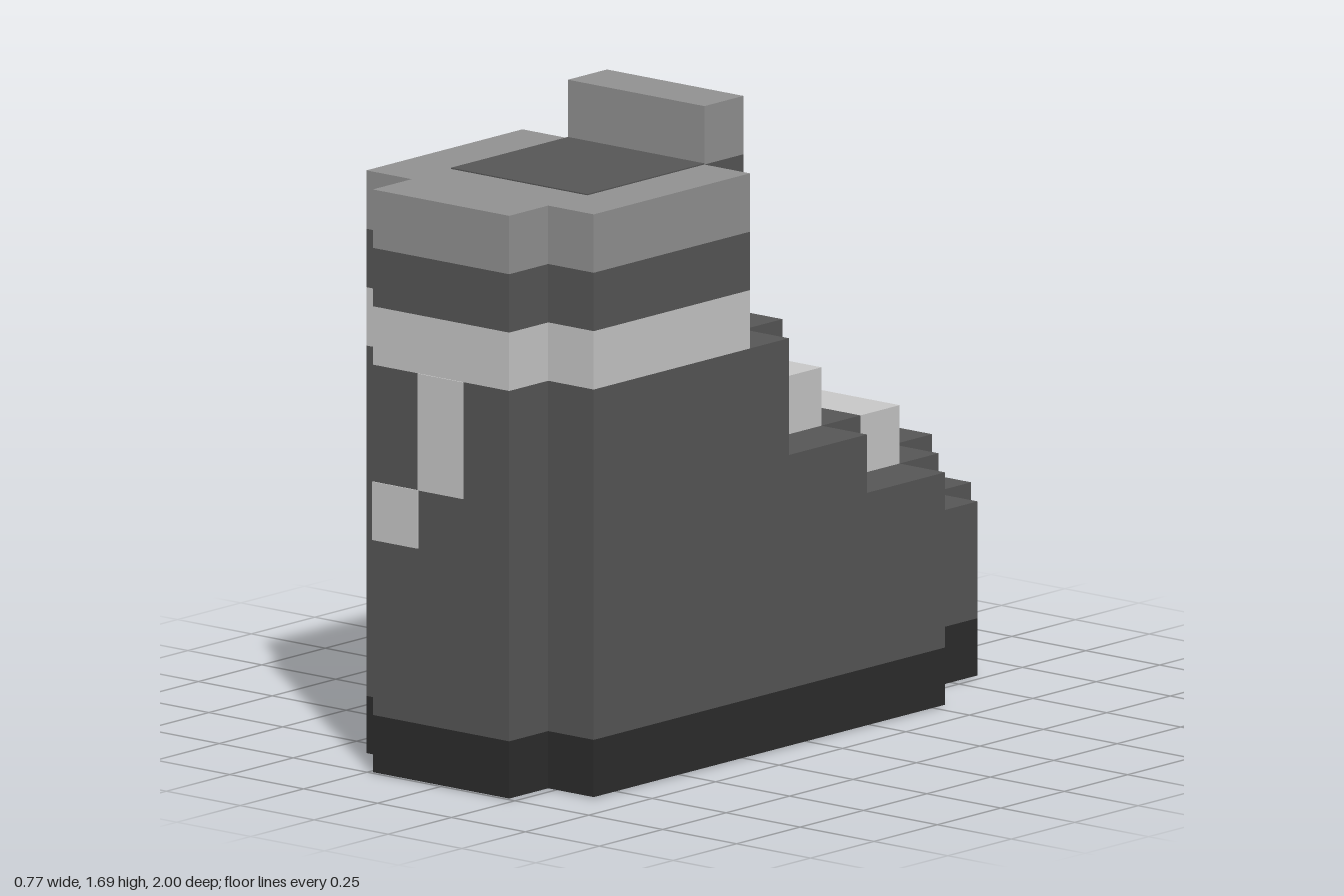
import * as THREE from 'three';

const U = 2 / 13; // one block
const T = 0.02;   // thickness of painted plates, in blocks

export function createModel() {
  const root = new THREE.Group();
  root.name = 'boot';
  const colour = (name, hex) => {
    const m = new THREE.MeshStandardMaterial({ color: hex });
    m.name = name;
    return m;
  };
  const leather = colour('dark grey leather', 0x575757);
  const black = colour('near black sole', 0x2d2d2d);
  const grey = colour('mid grey cuff', 0x939393);
  const light = colour('light grey lace', 0xcacaca);

  const add = (name, geometry, material) => {
    const mesh = new THREE.Mesh(geometry, material);
    mesh.name = name;
    root.add(mesh);
  };

  // Box between block coordinates: x 0..5, y 0..11, z 0..13 (toe to heel)
  const box = (name, mat, [x0, x1], [y0, y1], [z0, z1]) => {
    const g = new THREE.BoxGeometry((x1 - x0) * U, (y1 - y0) * U, (z1 - z0) * U);
    g.translate(((x0 + x1) / 2 - 2.5) * U, (y0 + y1) / 2 * U, ((z0 + z1) / 2 - 6.5) * U);
    add(name, g, mat);
  };

  // Horizontal slab: each of the five columns runs from its start to the heel
  const heel = [12, 13, 13, 13, 12];
  const slab = (name, mat, y0, y1, starts) => {
    const pts = [];
    const put = (x, z) => {
      const p = new THREE.Vector2((x - 2.5) * U, (6.5 - z) * U);
      if (!pts.length || pts[pts.length - 1].distanceTo(p) > 1e-6) pts.push(p);
    };
    for (let i = 0; i < 5; i++) { put(i, heel[i]); put(i + 1, heel[i]); }
    for (let i = 4; i >= 0; i--) { put(i + 1, starts[i]); put(i, starts[i]); }
    const g = new THREE.ExtrudeGeometry(new THREE.Shape(pts), {
      depth: (y1 - y0) * U, bevelEnabled: false,
    });
    g.rotateX(-Math.PI / 2);
    g.translate(0, y0 * U, 0);
    add(name, g, mat);
  };

  // Sole and stepped foot
  slab('sole', black, T, 1, [1, 0, 0, 1, 3]);
  slab('lowerFoot', leather, 1, 3, [1, 0, 0, 1, 3]);
  slab('toeStep', leather, 3, 4, [2, 1, 1, 2, 3]);
  slab('instepLow', leather, 4, 5, [5, 4, 4, 4, 5]);
  slab('instepMid', leather, 5, 6, [7, 6, 6, 6, 7]);
  slab('instepHigh', leather, 6, 7, [7, 6, 7, 6, 7]);

  // Ankle bands and cuff
  slab('ankleBand', light, 7, 8, [8, 7, 7, 7, 8]);
  slab('ankle', leather, 8, 9, [8, 7, 7, 7, 8]);
  slab('cuff', grey, 9, 10, [8, 8, 8, 8, 8]);
  box('opening', leather, [1, 4], [10, 10 + T], [8, 11]);

  // Tongue rising above the cuff
  box('tongue', leather, [1, 4], [9, 10], [7, 8]);
  box('tongueTip', grey, [1, 4], [10, 11], [7, 8]);
  box('tonguePatch', leather, [2, 3], [7, 8], [7 - T, 7]);

  // Laces
  box('lowerLace', light, [1, 4], [4, 5], [3, 4]);
  box('middleLace', light, [1, 4], [5, 6], [5, 6]);
  box('upperLace', light, [2, 3], [6, 7], [6, 7]);

  // Strap hanging at the heel
  box('heelStrap', light, [2, 3], [5, 7], [13, 13 + T]);
  box('heelStrapEnd', light, [1, 2], [4, 5], [13, 13 + T]);

  // Worn patches under the sole: column, z start, z end
  for (const [i, z0, z1] of [[3, 6, 10], [2, 5, 10], [1, 6, 9], [2, 1, 3], [1, 3, 4]]) {
    box('solePatch', leather, [i, i + 1], [0, T], [z0, z1]);
  }
  return root;
}
